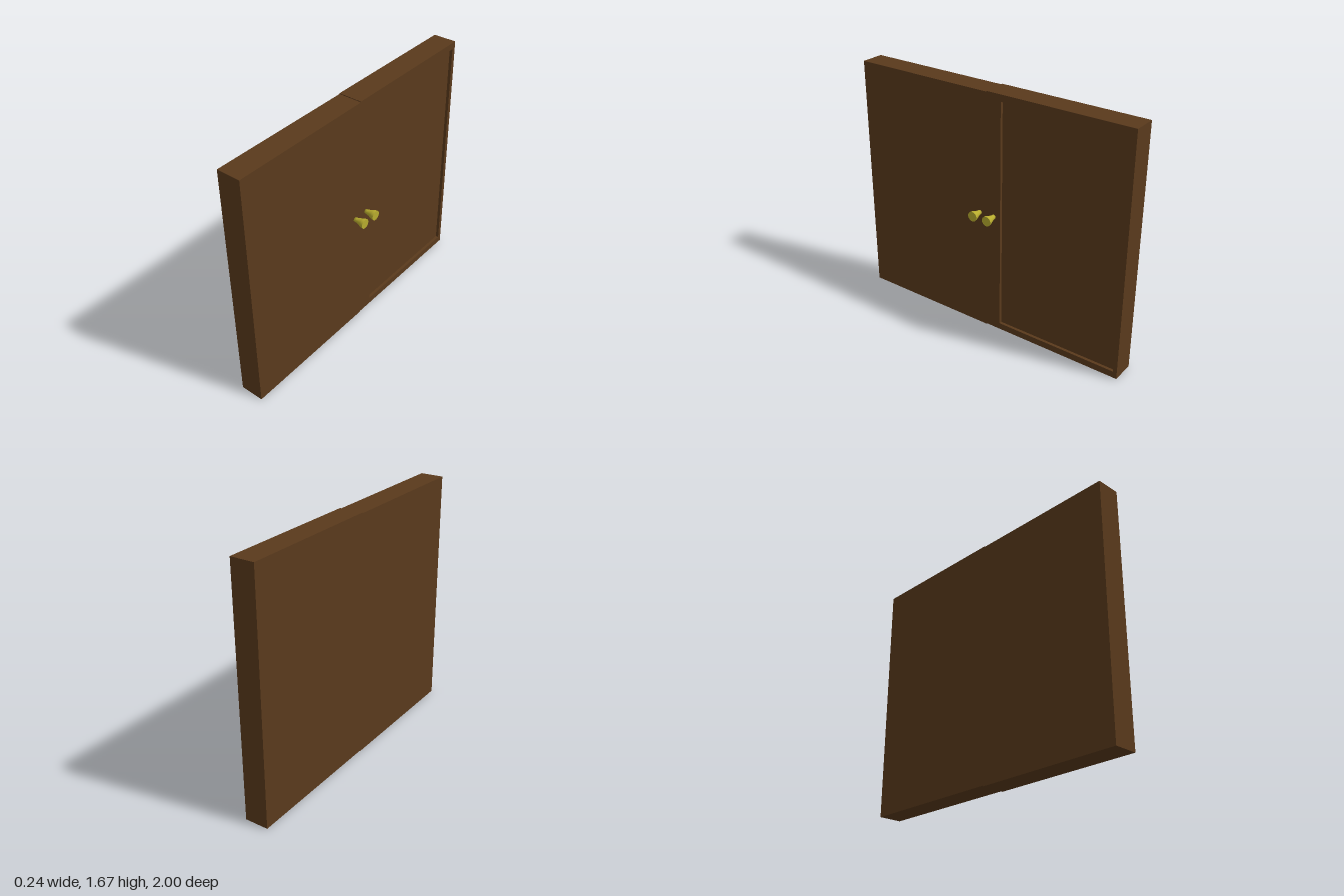
import * as THREE from 'three';

const wood = new THREE.MeshStandardMaterial({ color: 0x5a3a1c });
const brass = new THREE.MeshStandardMaterial({ color: 0xb8ac2e });

const BACK = -0.12, PANEL = 0.02, FRONT = 0.04; // depths along x
const HEIGHT = 1.665;

function rect(path, x0, y0, x1, y1) {
  path.moveTo(x0, y0);
  path.lineTo(x1, y0);
  path.lineTo(x1, y1);
  path.lineTo(x0, y1);
  path.closePath();
  return path;
}

// One door leaf, spanning z = 0..1 (side = 1) or z = -1..0 (side = -1)
function createDoor(side, name) {
  const door = new THREE.Group();
  door.name = name;

  // Solid leaf behind the recessed panel
  const leaf = new THREE.Mesh(new THREE.BoxGeometry(PANEL - BACK, HEIGHT, 1), wood);
  leaf.position.set((PANEL + BACK) / 2, HEIGHT / 2, side * 0.5);
  leaf.name = 'doorPanel';

  // Raised border: wide stile at the centre, narrow on the other sides
  const z = (v) => -side * v;
  const outline = rect(new THREE.Shape(), z(0), 0, z(1), HEIGHT);
  outline.holes.push(rect(new THREE.Path(), z(0.105), 0.045, z(0.972), 1.62));
  const frameGeo = new THREE.ExtrudeGeometry(outline, { depth: FRONT - PANEL, bevelEnabled: false });
  frameGeo.rotateY(Math.PI / 2);
  const frame = new THREE.Mesh(frameGeo, wood);
  frame.position.x = PANEL;
  frame.name = 'doorFrame';

  // Flared knob beside the meeting edge
  const profile = [[0, 0], [0.015, 0], [0.016, 0.015], [0.021, 0.033], [0.029, 0.058],
    [0.032, 0.066], [0.033, 0.08], [0.033, 0.08], [0, 0.08]].map(([r, h]) => new THREE.Vector2(r, h));
  const knobGeo = new THREE.LatheGeometry(profile.slice(0, 7), 32);
  knobGeo.rotateZ(-Math.PI / 2);
  const knob = new THREE.Group();
  knob.name = 'knob';
  const stem = new THREE.Mesh(knobGeo, brass);
  stem.name = 'knobStem';
  const cap = new THREE.Mesh(new THREE.CircleGeometry(0.033, 32).rotateY(Math.PI / 2), brass);
  cap.position.x = 0.08;
  cap.name = 'knobFace';
  knob.add(stem, cap);
  knob.position.set(FRONT, 0.845, side * 0.055);

  door.add(leaf, frame, knob);
  return door;
}

export function createModel() {
  const model = new THREE.Group();
  model.name = 'cabinetDoors';
  const near = createDoor(1, 'frontDoor');
  const far = createDoor(-1, 'rearDoor');
  far.position.y = 0.005; // hung slightly higher
  far.children[2].position.y -= 0.005; // knobs stay level
  model.add(near, far);
  return model;
}
